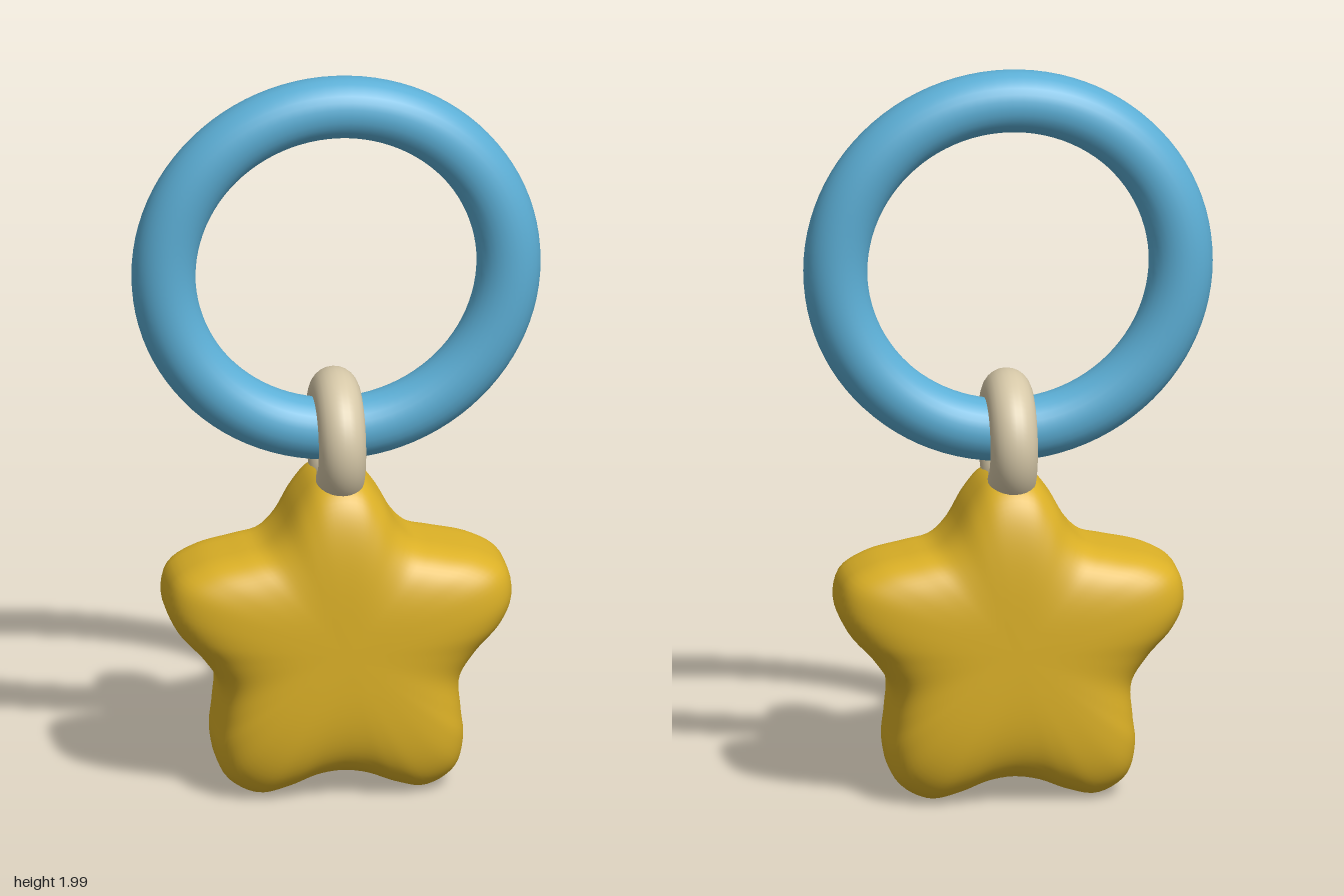
import * as THREE from 'three';

const material = (name, color) => {
  const m = new THREE.MeshStandardMaterial({ color });
  m.name = name;
  return m;
};

// Right half of the star outline, from the top tip down to the bottom notch
const HALF = [
  [0, 0.9], [0.06, 0.885], [0.11, 0.83], [0.16, 0.745], [0.205, 0.703], [0.27, 0.687],
  [0.38, 0.66], [0.45, 0.615], [0.467, 0.54], [0.44, 0.47], [0.37, 0.39], [0.325, 0.315],
  [0.328, 0.22], [0.335, 0.14], [0.31, 0.055], [0.23, 0.008], [0.15, 0.022], [0.07, 0.052], [0, 0.062],
];

// Puffy star: the outline shrinks toward the centre along a squarish dome, front and back
function starGeometry(depth, power, rings, segments) {
  const left = HALF.slice(1, -1).map(([x, y]) => [-x, y]);
  const loop = [HALF[0], ...left, ...HALF.slice(1).reverse()];
  const curve = new THREE.CatmullRomCurve3(
    loop.map(([x, y]) => new THREE.Vector3(x, y, 0)), true);
  const outline = curve.getSpacedPoints(segments).slice(0, segments);
  const cy = 0.43;
  const positions = [0, cy, depth];
  const index = [];
  for (let i = 1; i < rings; i++) {
    const a = Math.PI / 2 - (Math.PI * i) / rings;
    const s = Math.pow(Math.abs(Math.cos(a)), 2 / power);
    const z = Math.sign(a) * depth * Math.pow(Math.abs(Math.sin(a)), 2 / power);
    for (const p of outline) positions.push(p.x * s, cy + (p.y - cy) * s, z);
  }
  positions.push(0, cy, -depth);
  const last = positions.length / 3 - 1;
  const at = (ring, j) => 1 + ring * segments + (j % segments);
  for (let j = 0; j < segments; j++) {
    index.push(0, at(0, j), at(0, j + 1));
    for (let r = 0; r < rings - 2; r++) {
      index.push(at(r, j), at(r + 1, j), at(r + 1, j + 1));
      index.push(at(r, j), at(r + 1, j + 1), at(r, j + 1));
    }
    index.push(last, at(rings - 2, j + 1), at(rings - 2, j));
  }
  const g = new THREE.BufferGeometry();
  g.setAttribute('position', new THREE.Float32BufferAttribute(positions, 3));
  g.setIndex(index);
  g.computeVertexNormals();
  return g;
}

export function createModel() {
  const group = new THREE.Group();
  group.name = 'starKeyring';
  const add = (name, geometry, mat) => {
    const mesh = new THREE.Mesh(geometry, mat);
    mesh.name = name;
    group.add(mesh);
    return mesh;
  };

  // Star charm
  add('star', starGeometry(0.212, 3.7, 40, 160), material('yellow', 0xdbb026));

  // Small link, turned across the large ring
  const link = add('link', new THREE.TorusGeometry(0.126, 0.064, 24, 64), material('beige', 0xd6c8a8));
  link.rotation.y = Math.PI / 2;
  link.position.y = 0.98;

  // Large ring, slightly wider than tall
  const ring = add('largeRing', new THREE.TorusGeometry(0.46, 0.085, 28, 96), material('blue', 0x5cafd6));
  ring.scale.set(1.015, 0.991, 1);
  ring.position.y = 1.46;

  return group;
}
